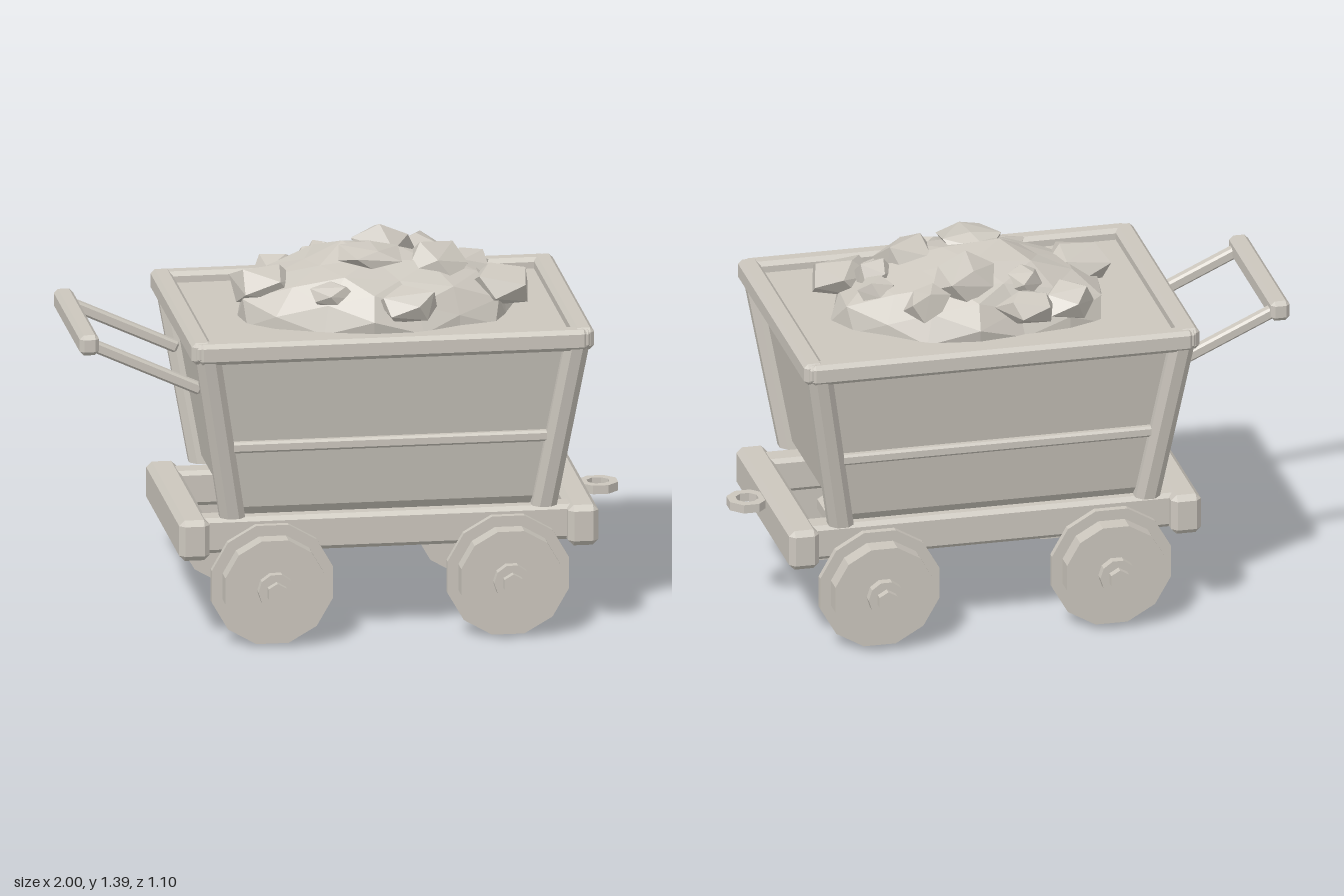
import * as THREE from 'three';
import { ConvexGeometry } from 'three/addons/geometries/ConvexGeometry.js';

const CX = 0.11; // the tub and chassis sit a little off centre
const stone = new THREE.MeshStandardMaterial({ color: 0xcbc6bd });
stone.name = 'warmGrey';

const V = (x, y, z) => new THREE.Vector3(x, y, z);

function add(parent, name, geometry, x = 0, y = 0, z = 0) {
  const g = geometry.index ? geometry.toNonIndexed() : geometry;
  g.computeVertexNormals(); // faceted look
  const mesh = new THREE.Mesh(g, stone);
  mesh.name = name;
  mesh.position.set(x, y, z);
  parent.add(mesh);
  return mesh;
}

// Box with chamfered edges
function bevelBox(w, h, d, c = 0.015) {
  const pts = [];
  for (const i of [-1, 1]) for (const j of [-1, 1]) for (const k of [-1, 1]) {
    const [x, y, z] = [w / 2, h / 2, d / 2];
    pts.push(V(i * x, j * (y - c), k * (z - c)), V(i * (x - c), j * y, k * (z - c)), V(i * (x - c), j * (y - c), k * z));
  }
  return new ConvexGeometry(pts);
}

// Solid through rectangles given as [y, halfX, halfZ]
function tapered(levels) {
  const pts = [];
  for (const [y, hx, hz] of levels)
    for (const i of [-1, 1]) for (const k of [-1, 1]) pts.push(V(i * hx, y, k * hz));
  return new ConvexGeometry(pts);
}

// Leaning corner post with an eight-sided section
function post(sx, sz) {
  const pts = [];
  for (const [y, hx, hz] of [[0.468, 0.565, 0.375], [1.09, 0.668, 0.478]])
    for (const i of [-1, 1]) for (const k of [-1, 1])
      pts.push(V(sx * hx + i * 0.045, y, sz * hz + k * 0.02), V(sx * hx + i * 0.02, y, sz * hz + k * 0.045));
  return new ConvexGeometry(pts);
}

// Disc with its axis along z and a flat or pointed top
function disc(r, depth, sides, flatTop) {
  const g = new THREE.CylinderGeometry(r, r, depth, sides);
  if (flatTop) g.rotateY(Math.PI / sides);
  return g.rotateX(Math.PI / 2);
}

function seeded(seed) {
  return () => {
    seed = (seed * 16807) % 2147483647;
    return seed / 2147483647;
  };
}

// Angular lump: hull of jittered points spread over an ellipsoid
function rock(rx, ry, rz, seed) {
  const rnd = seeded(seed * 7919 + 13);
  const pts = [], n = 11, turn = rnd() * 6.28;
  for (let i = 0; i < n; i++) {
    const y = 1 - (2 * (i + 0.5)) / n, r = Math.sqrt(1 - y * y);
    const a = turn + i * 2.4, s = 0.85 + rnd() * 0.35;
    pts.push(V(Math.cos(a) * r * rx * s, y * ry * s, Math.sin(a) * r * rz * s));
  }
  return new ConvexGeometry(pts);
}

export function createModel() {
  const cart = new THREE.Group();
  cart.name = 'mineCart';

  // Tub
  const tub = new THREE.Group();
  tub.name = 'tub';
  cart.add(tub);
  add(tub, 'tubBody', tapered([[0.468, 0.545, 0.35], [0.5, 0.57, 0.375], [1.11, 0.67, 0.475]]), CX);
  for (const sx of [-1, 1]) {
    for (const sz of [-1, 1]) {
      add(tub, 'cornerPost', post(sx, sz), CX);
      add(tub, 'rimCorner', bevelBox(0.06, 0.07, 0.06), CX + sx * 0.69, 1.112, sz * 0.492);
    }
    add(tub, 'endRim', bevelBox(0.075, 0.08, 1.03), CX + sx * 0.692, 1.112, 0);
  }
  for (const sz of [-1, 1]) {
    add(tub, 'sideRim', bevelBox(1.41, 0.078, 0.07), CX, 1.11, sz * 0.494);
    add(tub, 'sideRail', bevelBox(1.15, 0.04, 0.04, 0.008), CX, 0.737, sz * 0.422);
  }

  // Chassis
  const chassis = new THREE.Group();
  chassis.name = 'chassis';
  cart.add(chassis);
  for (const s of [-1, 1]) {
    add(chassis, 'sideBeam', bevelBox(1.36, 0.13, 0.1), CX, 0.393, s * 0.32);
    add(chassis, 'endBeam', bevelBox(0.11, 0.15, 0.84, 0.02), CX + s * 0.705, 0.39, 0);
  }

  // Hitch ring
  const section = [[0.042, -0.016], [0.075, -0.016], [0.075, 0.016], [0.042, 0.016], [0.042, -0.016]];
  const ring = new THREE.LatheGeometry(section.map(([r, y]) => new THREE.Vector2(r, y)), 8, Math.PI / 8);
  add(chassis, 'hitchRing', ring, 0.928, 0.425, 0);

  // Axles and flanged wheels
  for (const x of [-0.315, 0.54]) {
    const wheels = new THREE.Group();
    wheels.name = 'wheelSet';
    wheels.position.set(x, 0.22, 0);
    cart.add(wheels);
    add(wheels, 'axle', disc(0.038, 0.9, 6, false));
    for (const s of [-1, 1]) {
      add(wheels, 'wheelFlange', disc(0.2275, 0.026, 12, true), 0, 0, s * 0.407);
      add(wheels, 'wheelTread', disc(0.187, 0.075, 12, true), 0, 0, s * 0.4525);
      add(wheels, 'hub', disc(0.066, 0.04, 10, true), 0, 0, s * 0.503);
      add(wheels, 'axleNut', disc(0.038, 0.04, 6, false), 0, 0, s * 0.532);
    }
  }

  // Push handle
  const handle = new THREE.Group();
  handle.name = 'handle';
  cart.add(handle);
  add(handle, 'handleBar', bevelBox(0.07, 0.075, 0.66), -0.963, 1.108, 0);
  for (const s of [-1, 1]) {
    const arm = add(handle, 'handleArm', bevelBox(0.44, 0.042, 0.042, 0.008), -0.755, 1.012, s * 0.285);
    arm.rotation.z = -0.43;
  }

  // Heap of ore: an uneven dome with loose rocks on it
  const heap = new THREE.Group();
  heap.name = 'oreHeap';
  cart.add(heap);
  const dome = new THREE.IcosahedronGeometry(1, 2);
  const p = dome.attributes.position;
  for (let i = 0; i < p.count; i++) {
    const x = p.getX(i), y = p.getY(i), z = p.getZ(i);
    const s = 1 + 0.05 * Math.sin(x * 7 + y * 3) + 0.05 * Math.cos(z * 6 - x * 4);
    p.setXYZ(i, x * s * 0.5, Math.max(y, -0.1) * s * 0.25, z * s * 0.33);
  }
  add(heap, 'mound', dome, 0.11, 1.1, -0.01).rotation.y = -0.12;

  // x, y, z, then half sizes
  const rocks = [
    [-0.28, 1.23, 0.01, 0.13, 0.08, 0.12], [-0.03, 1.22, -0.32, 0.11, 0.07, 0.07],
    [-0.19, 1.2, -0.25, 0.1, 0.07, 0.08], [-0.04, 1.27, -0.2, 0.07, 0.06, 0.07],
    [0.18, 1.3, -0.2, 0.12, 0.08, 0.11], [0.33, 1.25, -0.28, 0.08, 0.07, 0.07],
    [0.48, 1.24, -0.09, 0.07, 0.06, 0.06], [0.33, 1.28, 0.07, 0.12, 0.09, 0.11],
    [0.46, 1.26, 0, 0.08, 0.07, 0.07], [0.56, 1.22, 0.11, 0.14, 0.085, 0.12],
    [0.2, 1.205, 0.3, 0.12, 0.065, 0.08], [-0.07, 1.23, 0.22, 0.09, 0.05, 0.06],
    [0.08, 1.34, 0.08, 0.12, 0.045, 0.13],
  ];
  rocks.forEach(([x, y, z, rx, ry, rz], i) => add(heap, 'rock', rock(rx, ry, rz, i + 1), x, y, z));
  return cart;
}
